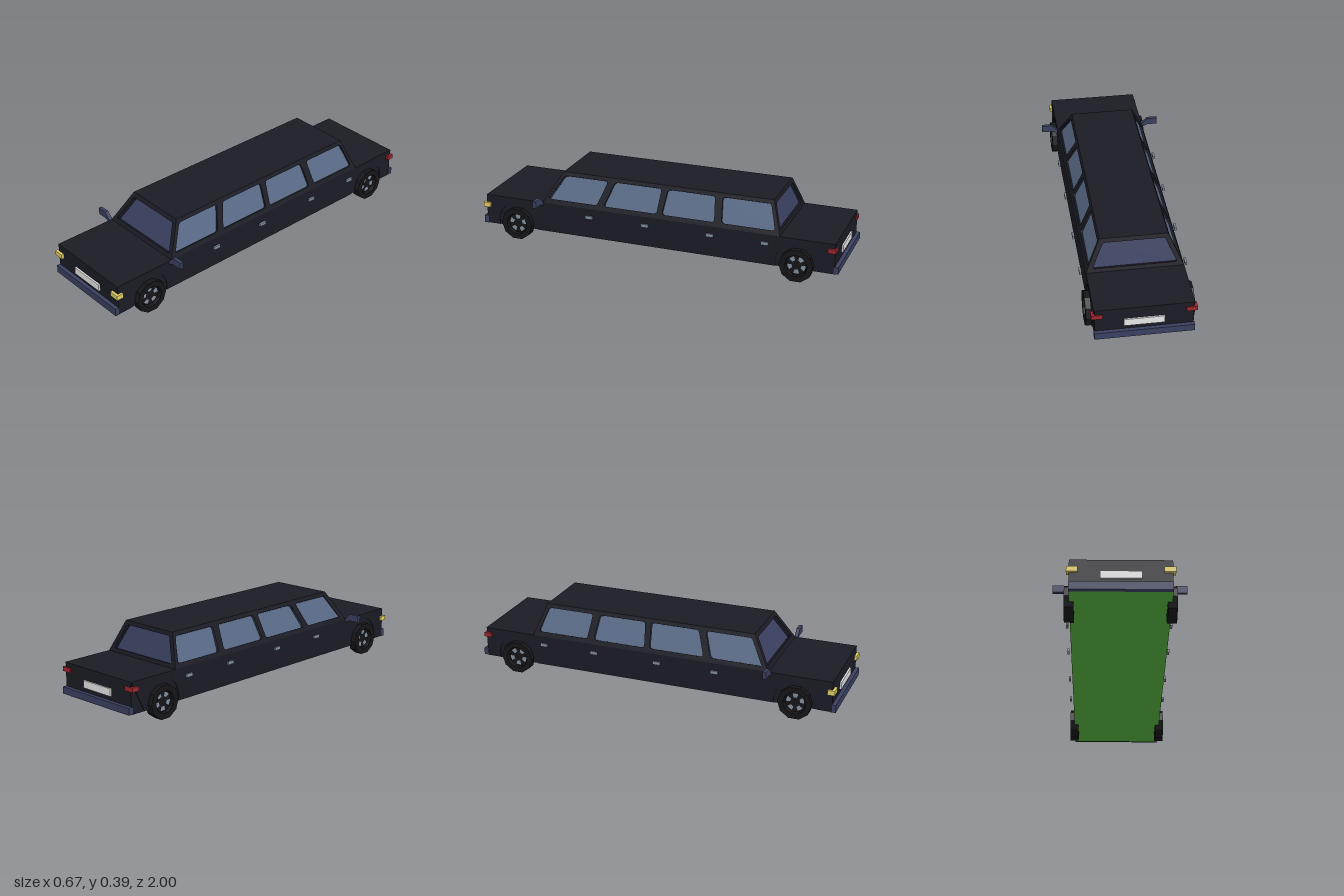
import * as THREE from 'three';

const paint = (name, color) => {
  const m = new THREE.MeshStandardMaterial({ color });
  m.name = name;
  return m;
};

export function createModel() {
  const model = new THREE.Group();
  model.name = 'stretchCar';

  const bodyMat = paint('body black', 0x1b1b25);
  const tyreMat = paint('tyre black', 0x161619);
  tyreMat.flatShading = true;
  const trimMat = paint('slate blue trim', 0x3a4060);
  const glassMat = paint('side glass', 0x596a86);
  const plateMat = paint('plate grey', 0xe8e8e8);
  const yellowMat = paint('headlight yellow', 0xe2d068);
  const redMat = paint('tail light red', 0xa0262f);
  const metalMat = paint('metal grey', 0x8593a3);
  const floorMat = paint('underside green', 0x56b43d);

  const add = (name, geo, mat, parent = model) => {
    const mesh = new THREE.Mesh(geo, mat);
    mesh.name = name;
    parent.add(mesh);
    return mesh;
  };
  // Box given by its limits on each axis
  const block = (name, mat, [x0, x1], [y0, y1], [z0, z1]) =>
    add(name, new THREE.BoxGeometry(x1 - x0, y1 - y0, z1 - z0)
      .translate((x0 + x1) / 2, (y0 + y1) / 2, (z0 + z1) / 2), mat);
  // Mirrored x range for the left (+1) or right (-1) side
  const sideX = (s, a, b) => (s > 0 ? [a, b] : [-b, -a]);

  const W = 0.247, BASE = 0.06, BELT = 0.225, ROOF = 0.39, SKIN = 0.004;
  const ROOF_W = 0.172, FRONT = 0.64, REAR = -0.69, ROOF_F = 0.542, ROOF_R = -0.635;
  const wheelZ = [-0.785, 0.79], wheelY = 0.0856;

  // Lower body: core plus thin side skins with shallow wheel arches
  block('bodyCore', bodyMat, [SKIN - W, W - SKIN], [BASE, BELT], [-0.98, 0.98]);
  const skin = new THREE.Shape().moveTo(-0.98, BASE);
  const archR = 0.116, archA = Math.asin((wheelY - BASE) / archR);
  wheelZ.forEach(z => skin.absarc(z, wheelY, archR, Math.PI + archA, -archA, true));
  skin.lineTo(0.98, BASE).lineTo(0.98, BELT).lineTo(-0.98, BELT);
  for (const x of [SKIN - W, W]) {
    add('bodySide', new THREE.ExtrudeGeometry(skin, { depth: SKIN, bevelEnabled: false, curveSegments: 12 })
      .rotateY(-Math.PI / 2).translate(x, 0, 0), bodyMat);
  }
  // Underside faces down only
  add('underside', new THREE.PlaneGeometry(2 * W, 1.96).rotateX(Math.PI / 2).translate(0, BASE - 0.0015, 0), floorMat);

  // Polygon with rounded corners
  const rounded = (pts, r) => {
    const shape = new THREE.Shape();
    const v = pts.map(p => new THREE.Vector2(...p));
    v.forEach((p, i) => {
      const toward = q => p.clone().add(q.clone().sub(p).setLength(r));
      const a = toward(v[(i + v.length - 1) % v.length]);
      const b = toward(v[(i + 1) % v.length]);
      if (i) shape.lineTo(a.x, a.y); else shape.moveTo(a.x, a.y);
      shape.quadraticCurveTo(p.x, p.y, b.x, b.y);
    });
    shape.closePath();
    return shape;
  };

  // Sloped cabin wall with recessed windows; points are [across, height]
  const wall = (name, origin, u, slope, outline, windows, r, depth, mat) => {
    const panel = new THREE.Group();
    panel.name = name;
    const v = slope.clone().normalize();
    const flat = pts => pts.map(([s, y]) => [s, (y - BELT) / v.y]);
    const shape = new THREE.Shape(flat(outline).map(p => new THREE.Vector2(...p)));
    const holes = windows.map(w => rounded(flat(w), r));
    shape.holes.push(...holes);
    add('windowFrame', new THREE.ExtrudeGeometry(shape, { depth, bevelEnabled: false, curveSegments: 4 })
      .translate(0, 0, -depth), bodyMat, panel);
    holes.forEach(h => add('windowGlass', new THREE.ShapeGeometry(h, 4).translate(0, 0, 0.001 - depth), mat, panel));
    panel.applyMatrix4(new THREE.Matrix4().makeBasis(u, v, u.clone().cross(v)).setPosition(origin));
    model.add(panel);
  };
  const vec = (x, y, z) => new THREE.Vector3(x, y, z);
  const rise = ROOF - BELT;

  // Windscreen and rear window
  const endOutline = [[-W, BELT], [W, BELT], [ROOF_W, ROOF], [-ROOF_W, ROOF]];
  const endWindow = [[-0.213, 0.244], [0.213, 0.244], [0.155, 0.369], [-0.155, 0.369]];
  wall('windscreen', vec(0, BELT, FRONT), vec(1, 0, 0), vec(0, rise, ROOF_F - FRONT),
    endOutline, [endWindow], 0.004, 0.024, trimMat);
  wall('rearWindow', vec(0, BELT, REAR), vec(-1, 0, 0), vec(0, rise, ROOF_R - REAR),
    endOutline, [endWindow], 0.012, 0.02, trimMat);

  // Four windows per side: bottom front, bottom rear, top rear, top front (z)
  const sideWindows = [
    [0.612, 0.325, 0.28, 0.53],
    [0.285, -0.015, -0.025, 0.24],
    [-0.045, -0.335, -0.32, -0.06],
    [-0.375, -0.66, -0.625, -0.362],
  ];
  for (const s of [1, -1]) {
    const quad = ([a, b, c, d], y0, y1) => [[-s * a, y0], [-s * b, y0], [-s * c, y1], [-s * d, y1]];
    wall(s > 0 ? 'leftWindows' : 'rightWindows', vec(s * W, BELT, 0), vec(0, 0, -s), vec(s * (ROOF_W - W), rise, 0),
      quad([FRONT, REAR, ROOF_R, ROOF_F], BELT, ROOF),
      sideWindows.map(w => quad(w, 0.248, 0.37)), 0.016, 0.012, glassMat);
  }
  block('roof', bodyMat, [-ROOF_W, ROOF_W], [ROOF - 0.004, ROOF], [ROOF_R, ROOF_F]);

  // Bumpers and plates
  block('frontBumper', trimMat, [-W, W], [0.058, 0.1], [0.975, 1]);
  block('rearBumper', trimMat, [-W, W], [0.063, 0.1], [-1, -0.975]);
  block('frontPlate', plateMat, [-0.1, 0.1], [0.123, 0.162], [0.98, 0.9895]);
  block('rearPlate', plateMat, [-0.1, 0.1], [0.123, 0.162], [-0.988, -0.98]);

  // Mirror outline, from the arm root to the head
  const mirrorPts = [[0.245, 0.207], [0.28, 0.222], [0.335, 0.222], [0.335, 0.26], [0.28, 0.26], [0.245, 0.226]];

  for (const s of [1, -1]) {
    block('headlight', yellowMat, sideX(s, 0.205, 0.26), [0.157, 0.183], [0.955, 0.994]);
    block('tailLight', redMat, sideX(s, 0.205, 0.26), [0.177, 0.2], [-0.986, -0.945]);

    for (const z of [0.358, 0.038, -0.322, -0.617]) {
      block('doorHandle', metalMat, sideX(s, 0.263, 0.274), [0.177, 0.194], [z - 0.02, z + 0.02]);
    }

    const mirror = new THREE.Shape(mirrorPts.map(([x, y]) => new THREE.Vector2(s * x, y)));
    add('wingMirror', new THREE.ExtrudeGeometry(mirror, { depth: 0.019, bevelEnabled: false })
      .translate(0, 0, 0.637), trimMat);

    // Ten-sided wheels with a deep hub and five metal inlays
    wheelZ.forEach((z, i) => {
      const wheel = new THREE.Group();
      wheel.name = 'wheel';
      const profile = [[0, -0.0235], [0.09, -0.0235], [0.09, 0.0235], [0.06, 0.0235], [0.056, 0.004], [0, 0.004]]
        .map(p => new THREE.Vector2(...p));
      add('tyre', new THREE.LatheGeometry(profile, 10).rotateZ(-s * Math.PI / 2), tyreMat, wheel);
      for (let k = 0; k < 5; k++) {
        const mid = (i ? 1 : -1) * Math.PI / 2 + k * Math.PI * 0.4;
        add('hubInlay', new THREE.RingGeometry(0.026, 0.048, 3, 1, mid - 0.32, 0.64)
          .rotateY(s * Math.PI / 2).translate(s * 0.0055, 0, 0), metalMat, wheel);
      }
      wheel.position.set(s * 0.2485, wheelY, z);
      model.add(wheel);
    });
  }
  return model;
}
